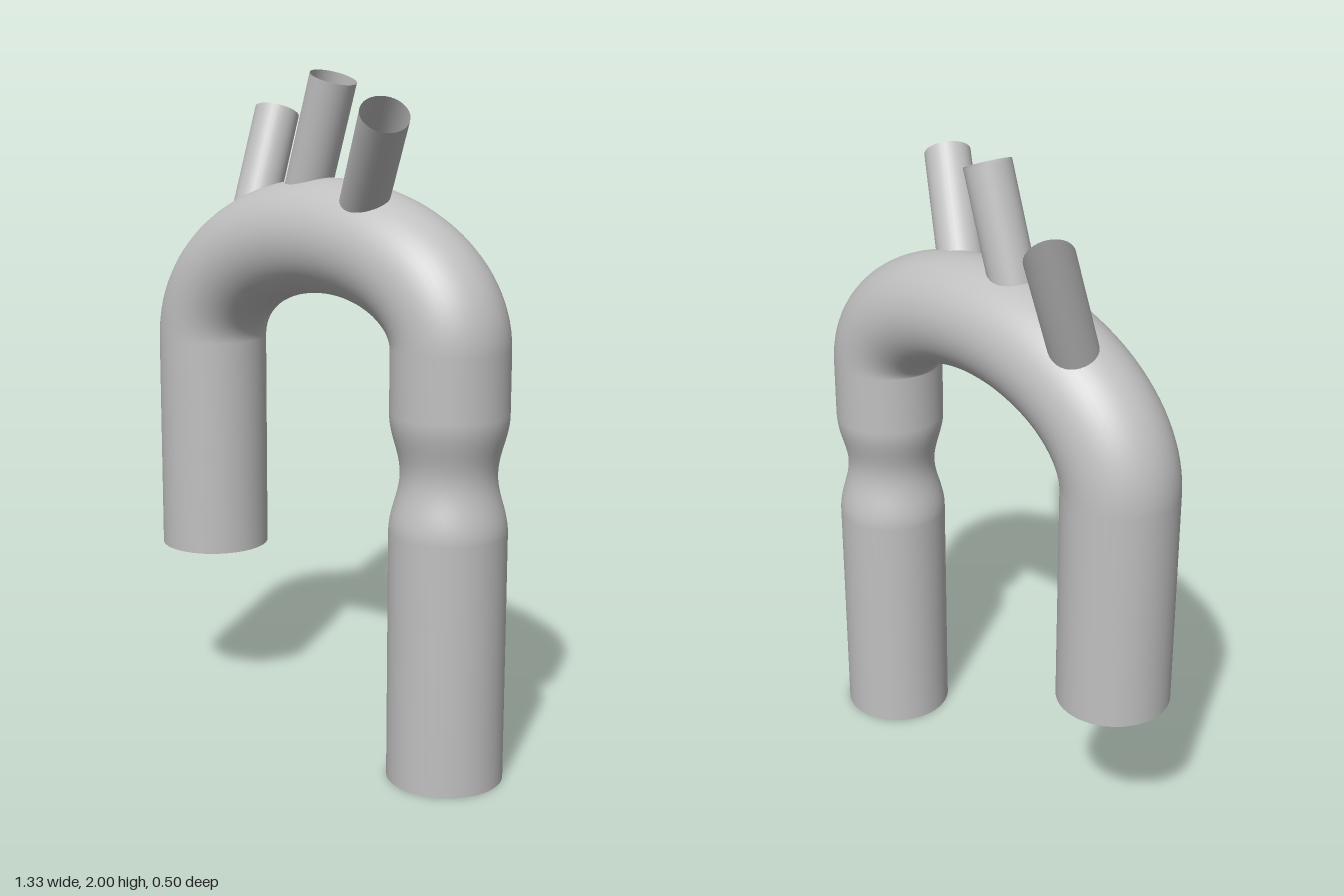
import * as THREE from 'three';

const R = 0.168;      // main tube radius
const SIDES = 48;

// Centreline stations: position, outward in-plane normal, radius
function stations() {
  const list = [];
  const add = (x, y, nx, ny, r = R) => list.push({ x, y, n: new THREE.Vector2(nx, ny).normalize(), r });
  // short straight leg
  for (let i = 0; i < 4; i++) add(-0.5, 0.5 + 0.67 * i / 4, -1, 0);
  // arch: two quarter ellipses meeting at the crown
  const quarter = (a, b, cy, from, to) => {
    for (let i = 0; i <= 28; i++) {
      const t = from + (to - from) * i / 28, c = Math.cos(t), s = Math.sin(t);
      add(0.04 + a * c, cy + b * s, c / a, s / b);
    }
  };
  quarter(0.54, 0.355, 1.17, Math.PI, Math.PI / 2);
  list.pop();
  quarter(0.454, 0.275, 1.25, Math.PI / 2, 0);
  // long leg with a narrowed waist
  const top = 1.07, bottom = 0.73;
  for (let i = 0; i <= 24; i++) {
    const f = i / 24;
    add(0.494, top + (bottom - top) * f, 1, 0, R - 0.031 * (1 - Math.cos(f * 2 * Math.PI)) / 2);
  }
  for (let i = 1; i <= 4; i++) add(0.494, bottom * (1 - i / 4), 1, 0);
  return list;
}

// Open tube through circular cross-sections
function sweep(list) {
  const pos = [], index = [];
  list.forEach(({ x, y, n, r }, i) => {
    for (let j = 0; j < SIDES; j++) {
      const a = j / SIDES * Math.PI * 2, c = r * Math.cos(a);
      pos.push(x + n.x * c, y + n.y * c, r * Math.sin(a));
      if (i === list.length - 1) continue;
      const p = i * SIDES + j, q = i * SIDES + (j + 1) % SIDES;
      index.push(p, q, p + SIDES, q, q + SIDES, p + SIDES);
    }
  });
  const g = new THREE.BufferGeometry();
  g.setAttribute('position', new THREE.Float32BufferAttribute(pos, 3));
  g.setIndex(index);
  g.computeVertexNormals();
  return g;
}

export function createModel() {
  const group = new THREE.Group();
  const grey = new THREE.MeshStandardMaterial({ color: 0xc0c0c0, side: THREE.DoubleSide });
  grey.name = 'grey';

  const arch = new THREE.Mesh(sweep(stations()), grey);
  arch.name = 'archTube';
  group.add(arch);

  // Open branch pipes rising from the arch centreline
  const branches = [
    ['rightBranch', [-0.35, 1.43, 0], [-0.397, 1.867, -0.187]],
    ['middleBranch', [-0.113, 1.52, 0], [0.037, 1.977, 0]],
    ['leftBranch', [0.124, 1.517, 0], [0.411, 1.888, 0.183]],
  ];
  for (const [name, from, to] of branches) {
    const a = new THREE.Vector3(...from), b = new THREE.Vector3(...to);
    const dir = b.clone().sub(a);
    const pipe = new THREE.Mesh(new THREE.CylinderGeometry(0.069, 0.069, dir.length(), 32, 1, true), grey);
    pipe.name = name;
    pipe.position.copy(a).add(b).multiplyScalar(0.5);
    pipe.quaternion.setFromUnitVectors(new THREE.Vector3(0, 1, 0), dir.normalize());
    group.add(pipe);
  }
  return group;
}
